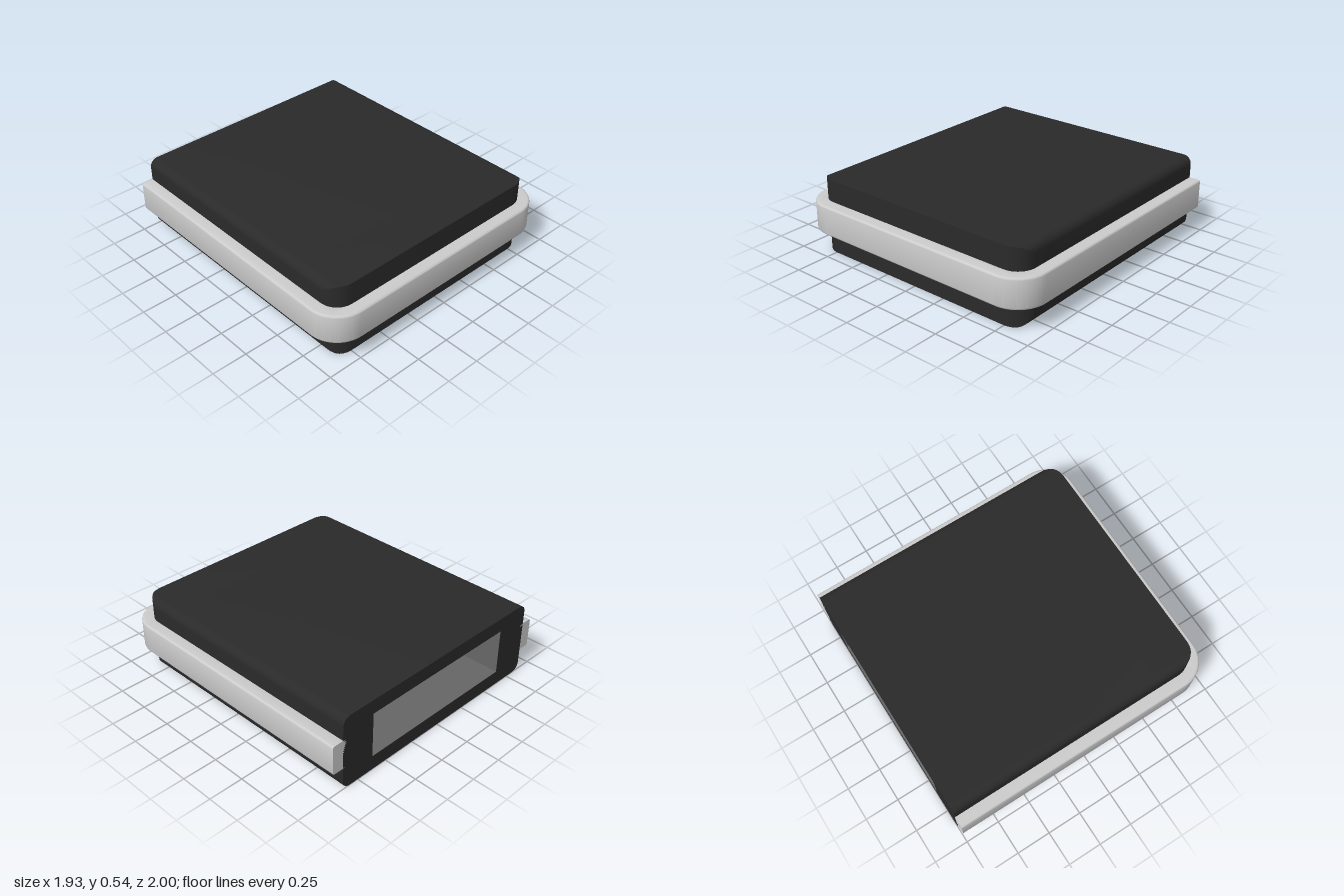
import * as THREE from 'three';
import { toCreasedNormals } from 'three/addons/utils/BufferGeometryUtils.js';

const HALF_W = 0.88, HEIGHT = 0.54, BACK = -1, FRONT = 0.915; // body
const EDGE_R = 0.06, CORNER_R = 0.135;
const SOCKET_W = 0.62, SOCKET_Y0 = 0.105, SOCKET_Y1 = 0.435, SOCKET_END = 0.6;

// Rounded cross-section of the body
function bodySection() {
  const s = new THREE.Shape(), w = HALF_W, h = HEIGHT, r = EDGE_R;
  s.absarc(w - r, r, r, -Math.PI / 2, 0);
  s.absarc(w - r, h - r, r, 0, Math.PI / 2);
  s.absarc(-w + r, h - r, r, Math.PI / 2, Math.PI);
  s.absarc(-w + r, r, r, Math.PI, Math.PI * 1.5);
  return s;
}

// U-shaped outline, open end at the back
function uPath(path, w, back, front, r) {
  path.moveTo(w, back);
  path.lineTo(w, front - r);
  path.absarc(w - r, front - r, r, 0, Math.PI / 2);
  path.absarc(-w + r, front - r, r, Math.PI / 2, Math.PI);
  path.lineTo(-w, back);
  return path;
}

function createModel() {
  const group = new THREE.Group();
  const dark = new THREE.MeshStandardMaterial({ color: 0x2a2a2a });
  const grey = new THREE.MeshStandardMaterial({ color: 0xcccccc });
  const inner = new THREE.MeshStandardMaterial({ color: 0x666666 });
  const add = (name, geometry, material) => {
    const mesh = new THREE.Mesh(geometry, material);
    mesh.name = name;
    group.add(mesh);
  };

  // Hollow rear part of the body
  const section = bodySection();
  const e = 0.002;
  section.holes.push(new THREE.Path([
    new THREE.Vector2(-SOCKET_W - e, SOCKET_Y0 - e),
    new THREE.Vector2(-SOCKET_W - e, SOCKET_Y1 + e),
    new THREE.Vector2(SOCKET_W + e, SOCKET_Y1 + e),
    new THREE.Vector2(SOCKET_W + e, SOCKET_Y0 - e),
  ]));
  const rear = new THREE.ExtrudeGeometry(section, { depth: SOCKET_END - BACK, bevelEnabled: false, curveSegments: 8 });
  rear.translate(0, 0, BACK);
  add('bodyRear', toCreasedNormals(rear, 0.6), dark);

  // Solid front part, its vertical corners rounded by limiting the width
  const steps = 13;
  const front = new THREE.ExtrudeGeometry(bodySection(), { depth: steps, steps, bevelEnabled: false, curveSegments: 8 });
  const p = front.attributes.position;
  for (let i = 0; i < p.count; i++) {
    const k = Math.round(p.getZ(i));
    const a = Math.max(0, (k - 1) / (steps - 1)) * Math.PI / 2;
    const limit = HALF_W - CORNER_R * (1 - Math.cos(a));
    p.setX(i, THREE.MathUtils.clamp(p.getX(i), -limit, limit));
    p.setZ(i, k === 0 ? SOCKET_END : FRONT - CORNER_R * (1 - Math.sin(a)));
  }
  add('bodyFront', toCreasedNormals(front, 0.6), dark);

  // Socket lining: an inward-facing box without its rear face
  const depth = SOCKET_END - BACK - e;
  const lining = new THREE.BoxGeometry(SOCKET_W * 2, SOCKET_Y1 - SOCKET_Y0, depth);
  lining.setIndex(Array.from(lining.index.array).slice(0, 30).reverse());
  lining.computeVertexNormals();
  lining.translate(0, (SOCKET_Y0 + SOCKET_Y1) / 2, BACK + depth / 2);
  add('socketLining', lining, inner);

  // Band around the sides and front, with softened edges and flat rear ends
  const b = 0.015, y0 = 0.165, y1 = 0.38;
  const outline = uPath(new THREE.Shape(), 0.965, BACK - b, 1, 0.22);
  const inside = uPath(new THREE.Path(), 0.85, BACK - b, 0.885, 0.11).getPoints(12).reverse();
  inside.forEach((v) => outline.lineTo(v.x, v.y));
  const band = new THREE.ExtrudeGeometry(outline, {
    depth: y1 - y0 - 2 * b, bevelThickness: b, bevelSize: b, bevelOffset: -b, bevelSegments: 3, curveSegments: 16,
  });
  band.rotateX(Math.PI / 2);
  band.translate(0, y1 - b, 0);
  const q = band.attributes.position;
  for (let i = 0; i < q.count; i++) q.setZ(i, Math.max(BACK, q.getZ(i)));
  add('band', toCreasedNormals(band, 0.6), grey);

  return group;
}

export { createModel };
